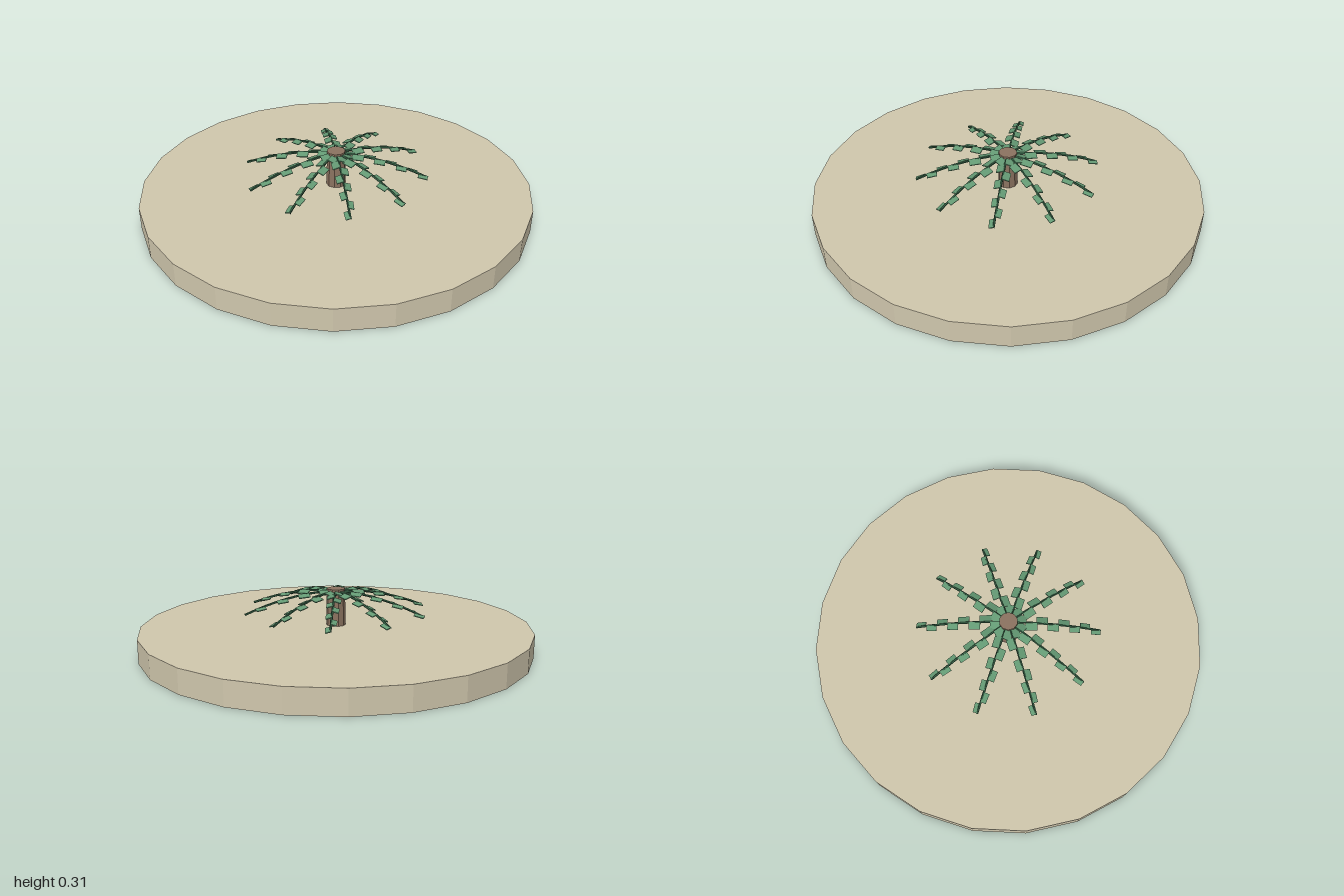
import * as THREE from 'three';

const mat = (name, color, opts = {}) => {
  const m = new THREE.MeshStandardMaterial({ color, flatShading: true, ...opts });
  m.name = name;
  return m;
};

const FRONDS = 10, LEAFLETS = 8, REACH = 0.47;
// height of the drooping midrib at distance r from the trunk axis
const ribY = (r) => 0.298 - 0.1 * (r / REACH) ** 2;

export function createModel() {
  const group = new THREE.Group();
  const sand = mat('sand', 0xd0c7ad);
  const bark = mat('bark', 0x8b7360);
  const ribGreen = mat('dark green', 0x335c42);
  const leafGreen = mat('leaf green', 0x649a74);

  const add = (parent, name, geometry, material) => {
    const mesh = new THREE.Mesh(geometry, material);
    mesh.name = name;
    parent.add(mesh);
    return mesh;
  };

  // round island slab
  add(group, 'base', new THREE.CylinderGeometry(1, 1, 0.12, 24), sand).position.y = 0.06;
  // trunk
  add(group, 'trunk', new THREE.CylinderGeometry(0.047, 0.05, 0.19, 10), bark).position.y = 0.215;

  // shared midrib and tapering leaflet shapes
  const points = [0.02, 0.1, 0.18, 0.26, 0.33, 0.4, REACH].map((r) => new THREE.Vector3(r, ribY(r), 0));
  const ribGeo = new THREE.TubeGeometry(new THREE.CatmullRomCurve3(points), 12, 0.006, 5);

  for (let i = 0; i < FRONDS; i++) {
    const frond = new THREE.Group();
    frond.name = 'frond';
    frond.rotation.y = (i / FRONDS) * Math.PI * 2;
    add(frond, 'midrib', ribGeo, ribGreen);

    // leaflets alternate from side to side and shrink toward the tip
    for (let j = 0; j < LEAFLETS; j++) {
      const t = j / (LEAFLETS - 1);
      const r = 0.06 + t * 0.385;
      const side = j % 2 ? 1 : -1;
      const width = 0.042 - 0.016 * t;
      const leaf = add(frond, 'leaflet', new THREE.BoxGeometry(0.062 - 0.012 * t, 0.005, width), leafGreen);
      leaf.position.set(r, ribY(r) - 0.003, side * (width / 2 - 0.001));
      leaf.rotation.set(side * 0.3, 0, -Math.atan(0.2 * r / REACH ** 2) * 0.6);
    }
    group.add(frond);
  }
  return group;
}
